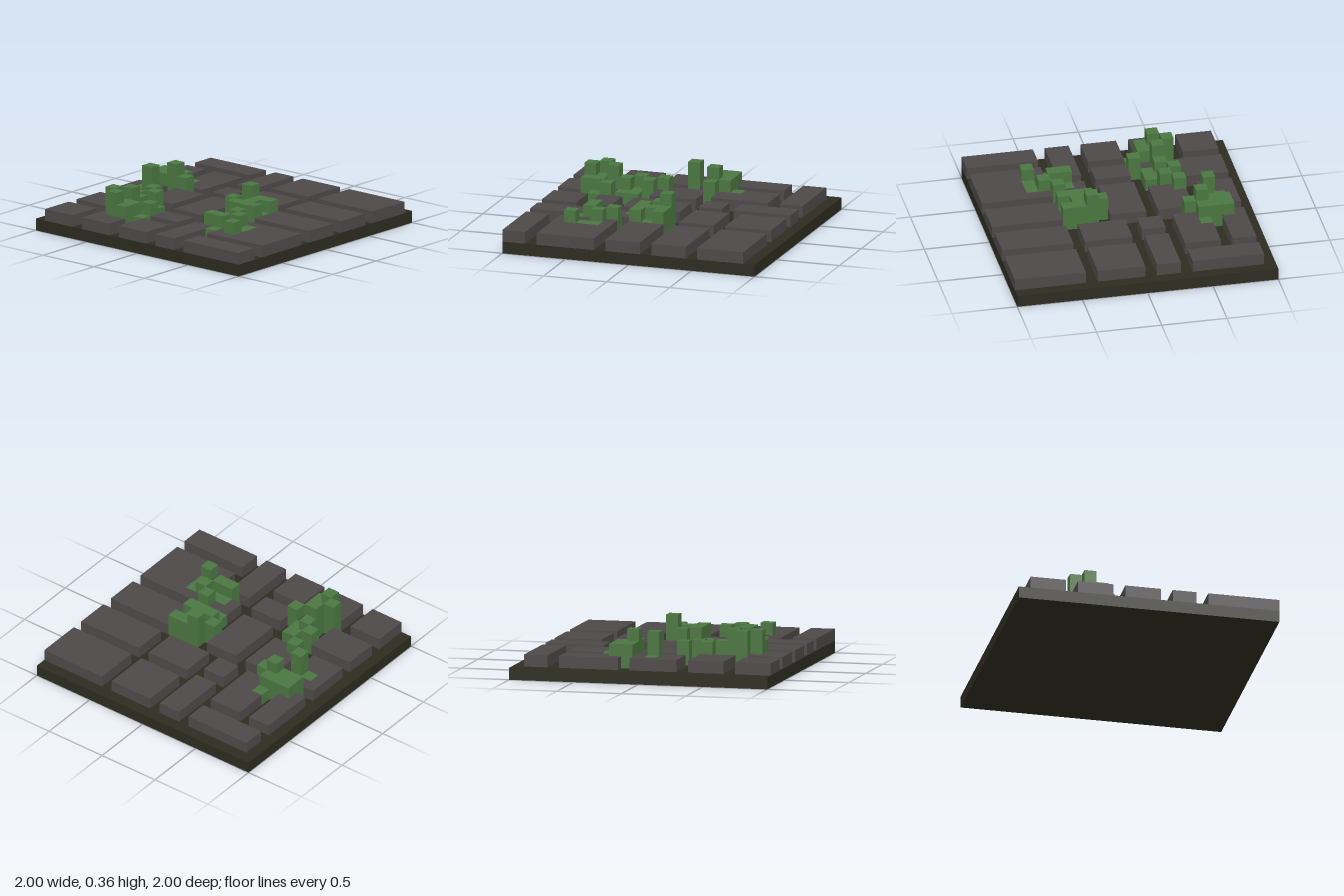
import * as THREE from 'three';

const U = 1 / 11; // one grid cell; the board is 22 x 22 cells

export function createModel() {
  const model = new THREE.Group();
  const soil = new THREE.MeshStandardMaterial({ color: 0x2d2c20 });
  soil.name = 'dark soil';
  const stone = new THREE.MeshStandardMaterial({ color: 0x4d4948 });
  stone.name = 'grey stone';
  const moss = new THREE.MeshStandardMaterial({ color: 0x4a7640 });
  moss.name = 'green moss';

  // Box covering cells i0..i1 (x) and j0..j1 (z), rising from y0 by h
  function block(name, parent, mat, [i0, i1, j0, j1], y0, h, grow = 0) {
    const geo = new THREE.BoxGeometry((i1 - i0) * U + grow, h, (j1 - j0) * U + grow);
    const mesh = new THREE.Mesh(geo, mat);
    mesh.name = name;
    mesh.position.set((i0 + i1) / 2 * U - 1, y0 + h / 2, (j0 + j1) / 2 * U - 1);
    parent.add(mesh);
  }

  // Base slab
  block('baseSlab', model, soil, [0, 22, 0, 22], 0, U);

  // Paving stones: first cell and end cell in x, then in z
  const paving = new THREE.Group();
  paving.name = 'pavingStones';
  model.add(paving);
  [
    [0, 3, 1, 4], [4, 7, 1, 5], [8, 12, 1, 4], [13, 18, 1, 3], [19, 21, 1, 7],
    [0, 3, 5, 8], [4, 7, 6, 8], [8, 12, 5, 8], [13, 18, 4, 7],
    [0, 3, 9, 12], [4, 6, 9, 12], [7, 12, 9, 12], [13, 15, 8, 10], [16, 21, 8, 10],
    [0, 5, 13, 15], [6, 12, 13, 15], [13, 16, 11, 15], [17, 21, 11, 15],
  ].forEach((r) => block('pavingStone', paving, stone, r, U, U));
  // Front row of long stones
  [[0, 2], [3, 8], [9, 12], [13, 16], [17, 21]]
    .forEach(([a, b]) => block('pavingStone', paving, stone, [a, b, 16, 22], U, U));

  // Moss clumps: cells [x, z] listed by height in cells
  const clumps = {
    flatMoss: { height: 1, cells: [
      [6, 6], [5, 7], [6, 7], [3, 8], [10, 2], [14, 4],
      [8, 13], [10, 15], [6, 14], [4, 15], [6, 15], [5, 17], [6, 17]] },
    mossTuft: { height: 2, cells: [
      [6, 5], [8, 5], [3, 6], [5, 6], [7, 6], [2, 7], [3, 7], [4, 8],
      [12, 2], [13, 2], [12, 3], [13, 3], [13, 4], [12, 5],
      [10, 12], [9, 13], [9, 14], [10, 14], [11, 14], [9, 15], [11, 15],
      [5, 14], [5, 15], [7, 15], [6, 16], [4, 17]] },
    tallMoss: { height: 3, cells: [[3, 5], [2, 6], [4, 6], [10, 3], [12, 4], [11, 13]] },
  };
  for (const [name, { height, cells }] of Object.entries(clumps)) {
    const group = new THREE.Group();
    group.name = name + 'Group';
    model.add(group);
    // a hair larger than the cell so moss covers the stone it grows over
    for (const [i, j] of cells) block(name, group, moss, [i, i + 1, j, j + 1], U, height * U + 0.001, 0.002);
  }
  return model;
}
